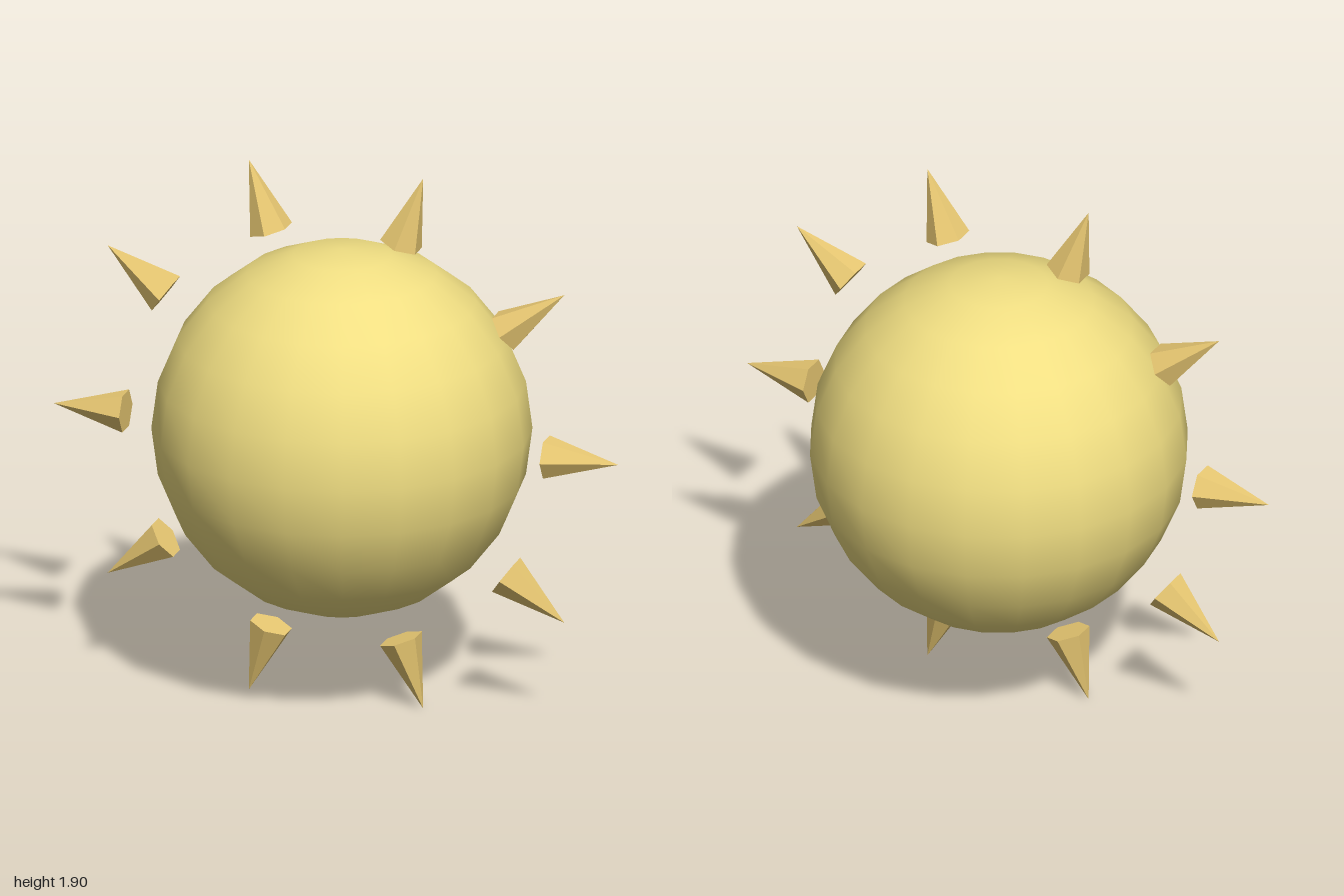
import * as THREE from 'three';

export function createModel() {
  const model = new THREE.Group();
  model.name = 'sun';
  const centreY = Math.sin(Math.PI * 0.4);

  // Smooth round body
  const body = new THREE.Mesh(
    new THREE.SphereGeometry(0.643, 20, 12),
    new THREE.MeshStandardMaterial({ color: 0xf0de82 })
  );
  body.name = 'body';
  body.position.y = centreY;
  model.add(body);

  // Ring of ten floating six-sided rays, slightly in front of the middle
  const rayHeight = 0.255;
  const rayGeometry = new THREE.ConeGeometry(0.075, rayHeight, 6);
  const rayMaterial = new THREE.MeshStandardMaterial({ color: 0xe8c872, flatShading: true });
  const rays = new THREE.Group();
  rays.name = 'rays';
  rays.position.set(0, centreY, 0.065);
  const radius = 1 - rayHeight / 2;
  for (let i = 0; i < 10; i++) {
    const angle = (i / 10) * Math.PI * 2;
    const ray = new THREE.Mesh(rayGeometry, rayMaterial);
    ray.name = `ray${i + 1}`;
    ray.position.set(Math.cos(angle) * radius, Math.sin(angle) * radius, 0);
    ray.rotation.z = angle - Math.PI / 2;
    rays.add(ray);
  }
  model.add(rays);

  return model;
}
